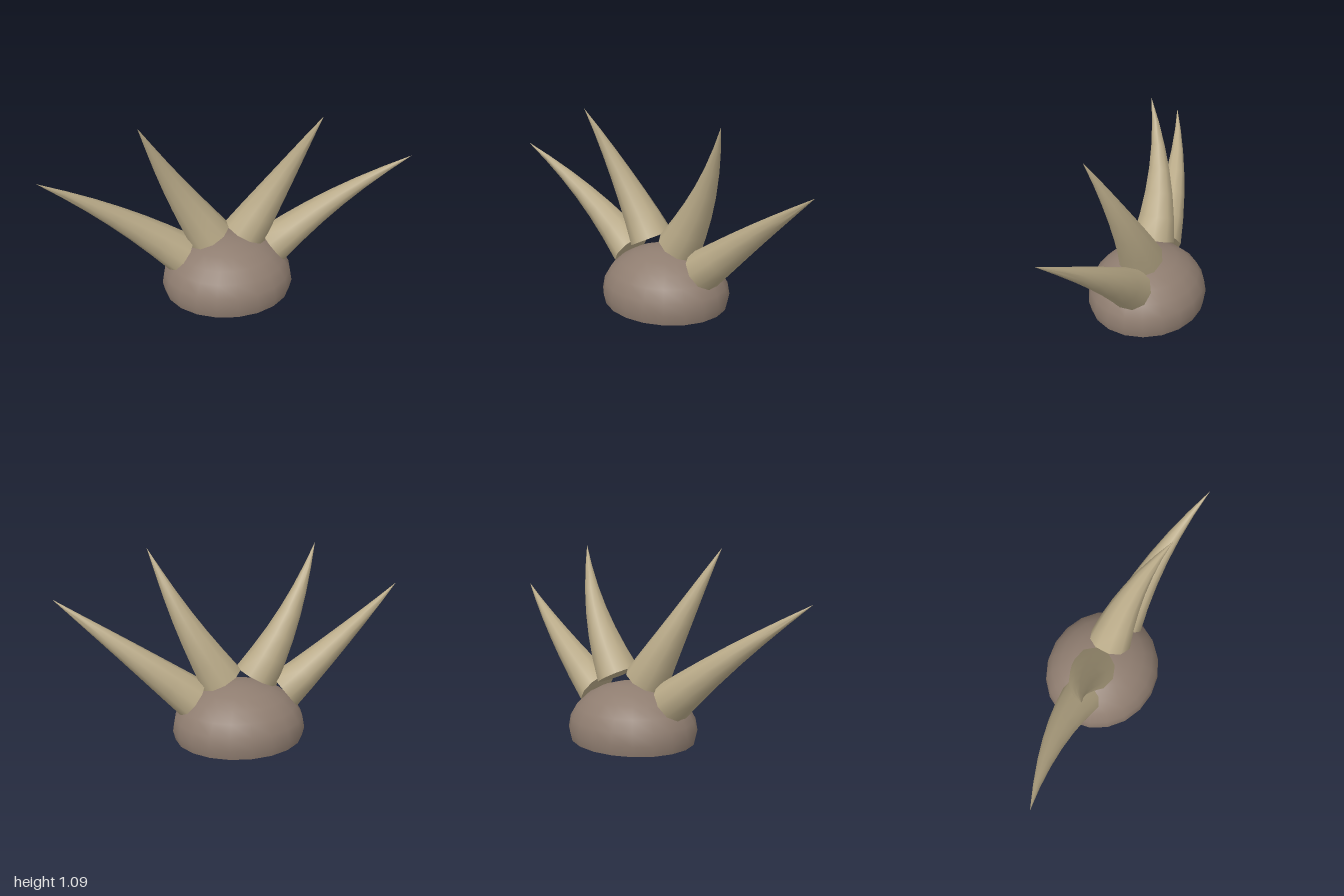
import * as THREE from 'three';
import { toCreasedNormals } from 'three/addons/utils/BufferGeometryUtils.js';

const CREASE = 0.9;

// Dome: squashed sphere cut off flat at the ground
function makeDome(material) {
  const geo = new THREE.SphereGeometry(1, 20, 12);
  geo.scale(0.385, 0.27, 0.345);
  geo.translate(0, 0.055, 0);
  const p = geo.attributes.position;
  for (let i = 0; i < p.count; i++) p.setY(i, Math.max(0, p.getY(i)));
  const mesh = new THREE.Mesh(toCreasedNormals(geo, CREASE), material);
  mesh.name = 'dome';
  return mesh;
}

// Spike: ten-sided cone from base to tip, curving forward towards the tip
function makeSpike(name, side, base, tip, radius, bow, material) {
  const dx = (tip[0] - base[0]) * side;
  const dy = tip[1] - base[1];
  const geo = new THREE.CylinderGeometry(0, radius, 1, 10, 6);
  const p = geo.attributes.position;
  for (let i = 0; i < p.count; i++) {
    const t = p.getY(i) + 0.5;
    p.setXYZ(
      i,
      p.getX(i) + side * bow * Math.sin(Math.PI * t),
      t * Math.hypot(dx, dy),
      p.getZ(i) + 0.15 * t * t
    );
  }
  const mesh = new THREE.Mesh(toCreasedNormals(geo, CREASE), material);
  mesh.name = name;
  mesh.position.set(base[0] * side, base[1], 0);
  mesh.rotation.z = -Math.atan2(dx, dy);
  return mesh;
}

export function createModel() {
  const brown = new THREE.MeshStandardMaterial({ color: 0x8f7d70 });
  brown.name = 'brown';
  const bone = new THREE.MeshStandardMaterial({ color: 0xb9aa88 });
  bone.name = 'bone';

  const model = new THREE.Group();
  model.name = 'spikedDome';
  model.add(makeDome(brown));

  // Two mirrored pairs of spikes
  for (const [label, side] of [['left', 1], ['right', -1]]) {
    model.add(makeSpike(label + 'InnerSpike', side, [0.105, 0.355], [0.48, 1.085], 0.127, 0.018, bone));
    model.add(makeSpike(label + 'OuterSpike', side, [0.27, 0.25], [1, 0.825], 0.119, -0.01, bone));
  }
  return model;
}
